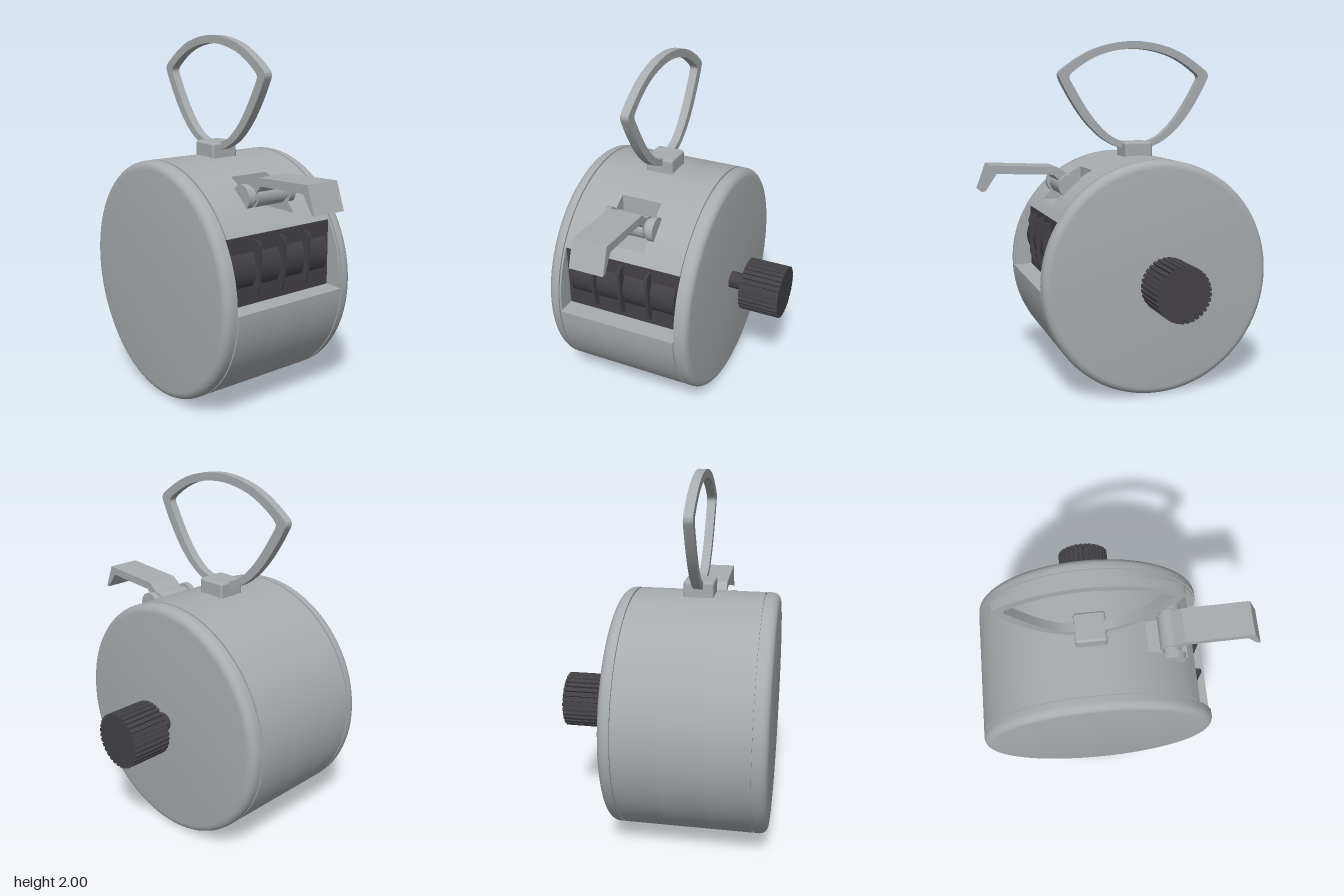
import * as THREE from 'three';
import { toCreasedNormals } from 'three/addons/utils/BufferGeometryUtils.js';
import { RoundedBoxGeometry } from 'three/addons/geometries/RoundedBoxGeometry.js';

const R = 0.67, CY = 0.67, CZ = -0.13; // drum radius and axis

export function createModel() {
  const model = new THREE.Group();
  model.name = 'tallyCounter';
  const metal = new THREE.MeshStandardMaterial({ color: 0xa8acae });
  metal.name = 'grey metal';
  const dark = new THREE.MeshStandardMaterial({ color: 0x434145 });
  dark.name = 'dark plastic';

  const add = (name, geometry, material, x = 0, y = 0, z = 0) => {
    const mesh = new THREE.Mesh(geometry, material);
    mesh.name = name;
    mesh.position.set(x, y, z);
    model.add(mesh);
    return mesh;
  };

  // Side outline of [z, y] points, extruded along x from x0 to x1
  const toVec = (pts) => pts.map(([z, y]) => new THREE.Vector2(-z, y));
  const extrudeX = (pts, x0, x1, hole, bevel = 0) => {
    const shape = new THREE.Shape(toVec(pts));
    if (hole) shape.holes.push(new THREE.Path(toVec(hole)));
    const g = new THREE.ExtrudeGeometry(shape, {
      depth: x1 - x0 - 2 * bevel, bevelEnabled: bevel > 0,
      bevelSize: bevel, bevelThickness: bevel, bevelOffset: -bevel, bevelSegments: 1,
    });
    g.translate(0, 0, x0 + bevel).rotateY(Math.PI / 2);
    return toCreasedNormals(g, 0.4);
  };

  // Profile of [radius, x] points turned about the x axis
  const latheX = (pts) => {
    const g = new THREE.LatheGeometry(pts.map(([r, x]) => new THREE.Vector2(r, x)), 96);
    return toCreasedNormals(g.rotateZ(-Math.PI / 2), 0.5);
  };
  const cylinderX = (r, length) =>
    toCreasedNormals(new THREE.CylinderGeometry(r, r, length, 32).rotateZ(-Math.PI / 2), 0.5);

  // Drum middle: notched circle slabs, for the number window and the lever pocket
  const arc = (a0, a1, n) => Array.from({ length: n + 1 }, (_, i) => {
    const a = a0 + (a1 - a0) * i / n;
    return [CZ + R * Math.cos(a), CY + R * Math.sin(a)];
  });
  const windowLow = Math.asin(-0.025 / R), windowHigh = Math.asin(0.35 / R);
  const pocketLow = Math.asin(0.41 / R), pocketHigh = Math.acos(0.3 / R);
  const end = windowLow + Math.PI * 2;
  const windowCut = [[0.42, 0.645], [0.42, 1.02]];
  const plain = [...arc(windowHigh, end, 84), ...windowCut];
  const pocketed = [...arc(windowHigh, pocketLow, 3), [0.17, 1.08],
    ...arc(pocketHigh, end, 76), ...windowCut];
  add('drumRight', extrudeX(plain, -0.52, -0.29), metal);
  add('drumPocket', extrudeX(pocketed, -0.29, -0.05), metal);
  add('drumLeft', extrudeX(plain, -0.05, 0.18), metal);

  // Rounded end covers with a narrow groove beside the drum
  const fillet = 0.045;
  const cover = [[0, 0.18], [R - 0.012, 0.18], [R - 0.012, 0.19], [R, 0.19]];
  for (let i = 0; i <= 6; i++) {
    const a = i / 6 * Math.PI / 2;
    cover.push([R - fillet + fillet * Math.cos(a), 0.26 - fillet + fillet * Math.sin(a)]);
  }
  cover.push([0, 0.26]);
  add('leftCover', latheX(cover), metal, 0, CY, CZ);
  const mirrored = cover.map(([r, x]) => [r, -0.34 - x]).reverse();
  add('rightCover', latheX(mirrored), metal, 0, CY, CZ);

  // Number window: backing plate, wheels and dividers
  add('windowPanel', new THREE.BoxGeometry(0.698, 0.374, 0.009), dark, -0.17, 0.8325, 0.4245);
  for (let i = 0; i < 4; i++) {
    add('numberWheel', cylinderX(0.15, 0.14), dark, -0.42 + i * 0.1667, 0.835, 0.31);
  }
  const fin = [[0.41, 0.675], [0.455, 0.69], [0.475, 0.76], [0.48, 0.96], [0.47, 0.985], [0.41, 0.99]];
  for (const x of [-0.335, -0.17, -0.003]) {
    add('divider', extrudeX(fin, x - 0.008, x + 0.008), dark);
  }

  // Thumb lever on its pivot
  add('leverPivot', cylinderX(0.05, 0.3), metal, -0.17, 1.185, 0.305);
  add('leverHub', cylinderX(0.062, 0.19), metal, -0.165, 1.185, 0.305);
  for (const x of [-0.31, -0.03]) {
    add('pivotCap', cylinderX(0.068, 0.036), metal, x, 1.185, 0.308);
  }
  const lever = [[0.28, 1.22], [0.37, 1.292], [0.743, 1.312], [0.797, 1.167],
    [0.775, 1.172], [0.712, 1.264], [0.39, 1.248], [0.32, 1.17]];
  add('thumbLever', extrudeX(lever, -0.265, -0.07), metal);

  // Finger ring and its mount; half outlines as [offset from centre, y]
  const ringLoop = (half) => {
    const other = half.slice(1, -1).reverse().map(([d, y]) => [-d, y]);
    const pts = [...half, ...other].map(([d, y]) => new THREE.Vector3(CZ + d, y, 0));
    return new THREE.CatmullRomCurve3(pts, true).getPoints(96).slice(0, -1).map((p) => [p.x, p.y]);
  };
  const outer = [[0, 2], [0.24, 1.957], [0.425, 1.85], [0.463, 1.81], [0.445, 1.756],
    [0.32, 1.555], [0.204, 1.44], [0.09, 1.382], [0, 1.366]];
  const inner = [[0, 1.957], [0.22, 1.917], [0.375, 1.825], [0.4, 1.795], [0.376, 1.74],
    [0.257, 1.555], [0.15, 1.452], [0.07, 1.418], [0, 1.406]];
  add('fingerRing', extrudeX(ringLoop(outer), -0.195, -0.147, ringLoop(inner)), metal);
  add('ringMount', new RoundedBoxGeometry(0.165, 0.14, 0.17, 2, 0.015), metal, -0.17, 1.35, CZ);

  // Reset knob with a ridged grip
  add('knobShaft', cylinderX(0.05, 0.12), dark, 0.31, CY, CZ);
  const grip = [];
  const teeth = 32;
  for (let i = 0; i < teeth; i++) {
    for (const [t, r] of [[0, 0.155], [0.6, 0.155], [0.7, 0.144], [0.9, 0.144]]) {
      const a = (i + t) / teeth * Math.PI * 2;
      grip.push([CZ + r * Math.cos(a), CY + r * Math.sin(a)]);
    }
  }
  add('knobGrip', extrudeX(grip, 0.36, 0.595), dark);

  return model;
}
